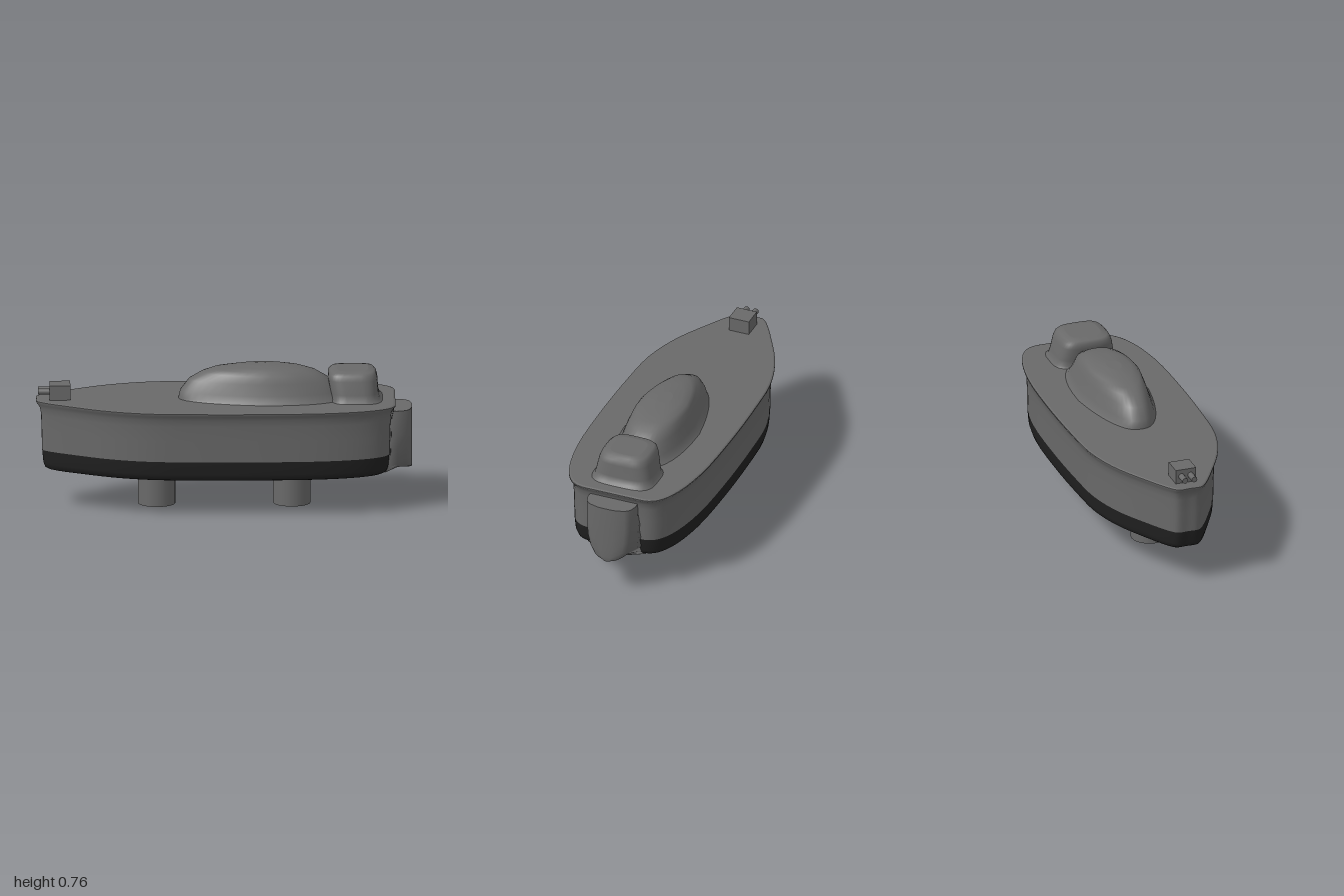
import * as THREE from 'three';

const grey = new THREE.MeshStandardMaterial({ color: 0x696969 });
grey.name = 'hull grey';
const black = new THREE.MeshStandardMaterial({ color: 0x202020 });
black.name = 'boot stripe black';
const V = (x, y, z) => new THREE.Vector3(x, y, z);

// Skin over horizontal rings stacked upward, with optional flat end caps.
function loft(rings, capTop = false, capBottom = false) {
  const pos = [], idx = [], n = rings[0].length;
  const addRing = (r) => {
    const start = pos.length / 3;
    r.forEach((p) => pos.push(p.x, p.y, p.z));
    return start;
  };
  const starts = rings.map(addRing);
  for (let i = 0; i + 1 < rings.length; i++) {
    for (let j = 0; j < n; j++) {
      const k = (j + 1) % n;
      const a = starts[i] + j, b = starts[i] + k, c = starts[i + 1] + j, d = starts[i + 1] + k;
      idx.push(a, c, b, b, c, d);
    }
  }
  const cap = (r, up) => {
    const s = addRing(r);
    const m = r.reduce((t, p) => t.add(p), V(0, 0, 0)).divideScalar(n);
    const c = addRing([m]);
    for (let j = 0; j < n; j++) {
      const k = (j + 1) % n;
      if (up) idx.push(c, s + k, s + j);
      else idx.push(c, s + j, s + k);
    }
  };
  if (capTop) cap(rings[rings.length - 1], true);
  if (capBottom) cap(rings[0], false);
  const g = new THREE.BufferGeometry();
  g.setAttribute('position', new THREE.Float32BufferAttribute(pos, 3));
  g.setIndex(idx);
  g.computeVertexNormals();
  return g;
}

// Deck outline: stern at +x, bow at -x.
const half = [[0.91, 0.1], [0.905, 0.2], [0.87, 0.255], [0.77, 0.31], [0.55, 0.358], [0.2, 0.375],
  [-0.17, 0.37], [-0.42, 0.352], [-0.63, 0.29], [-0.82, 0.19], [-0.97, 0.095], [-1, 0.06]];
const outline = new THREE.CatmullRomCurve3([
  V(0.91, 0, 0), ...half.map(([x, z]) => V(x, 0, z)), V(-1, 0, 0),
  ...half.slice().reverse().map(([x, z]) => V(x, 0, -z))], true).getPoints(88).slice(0, 88);

// Hull ring at height y, drawn in by d from the deck edge.
const hullRing = ([y, d]) => outline.map((p) => V(
  -0.045 + (p.x + 0.045) * (1 - 1.35 * d / 0.955), y, p.z * (1 - d / 0.375)));

// Squarish oval ring; front (-x) end narrowed by taper.
function ovalRing([y, x0, x1, w], power, taper) {
  const ring = [];
  for (let i = 0; i < 40; i++) {
    const a = (i / 40) * Math.PI * 2, c = Math.cos(a), s = Math.sin(a);
    const cx = Math.sign(c) * Math.abs(c) ** power, sz = Math.sign(s) * Math.abs(s) ** power;
    ring.push(V((x0 + x1) / 2 + cx * (x1 - x0) / 2, y, sz * w * (1 - taper * Math.max(0, -cx))));
  }
  return ring;
}

export function createModel() {
  const model = new THREE.Group();
  const add = (name, geo, mat, x = 0, y = 0, z = 0) => {
    const m = new THREE.Mesh(geo, mat);
    m.name = name;
    m.position.set(x, y, z);
    model.add(m);
    return m;
  };

  // Hull: black lower band, grey topsides flaring to the rim, deck and bottom
  const lower = [[0.196, 0.065], [0.201, 0.05], [0.211, 0.036], [0.235, 0.029], [0.305, 0.024]];
  const upper = [[0.305, 0.024], [0.42, 0.022], [0.5, 0.02], [0.535, 0.015], [0.555, 0.007], [0.566, 0], [0.573, 0]];
  add('lowerHullBand', loft(lower.map(hullRing)), black);
  add('hullSides', loft(upper.map(hullRing)), grey);
  add('deck', loft([hullRing([0.573, 0]), hullRing([0.577, 0.008])], true), grey);
  add('hullBottom', loft([hullRing(lower[0])], false, true), grey);

  // Cabin with a flared foot and domed roof
  const cabin = [[0.572, -0.245, 0.64, 0.205], [0.587, -0.243, 0.62, 0.188], [0.62, -0.235, 0.6, 0.172],
    [0.68, -0.19, 0.56, 0.152], [0.72, -0.12, 0.49, 0.138], [0.74, -0.06, 0.42, 0.122],
    [0.752, 0.03, 0.34, 0.09], [0.759, 0.13, 0.24, 0.04]];
  add('cabin', loft(cabin.map((r) => ovalRing(r, 0.8, 0.3)), true), grey);

  // Rounded cowling behind the cabin
  const cowling = [[0.572, 0.56, 0.85, 0.185], [0.588, 0.57, 0.828, 0.168], [0.62, 0.565, 0.82, 0.16],
    [0.69, 0.552, 0.815, 0.145], [0.718, 0.553, 0.808, 0.135], [0.732, 0.565, 0.795, 0.12],
    [0.738, 0.6, 0.765, 0.09]];
  add('engineCowling', loft(cowling.map((r) => ovalRing(r, 0.55, 0)), true), grey);

  // Drive housing on the stern, narrowing at its foot
  const housing = [[0.2, 0.25], [0.208, 0.5], [0.225, 0.68], [0.26, 0.83], [0.32, 0.94], [0.4, 1], [0.53, 1]];
  const side = [[1, 0.04], [0.985, 0.1], [0.965, 0.124], [0.92, 0.138]];
  const housingRing = ([y, f]) => {
    const root = 0.168 - 0.035 * Math.max(0, (y - 0.3) / 0.23);
    const h = [...side.map(([x, z]) => [x, z * f]), [0.85, root]];
    return [...h.map(([x, z]) => V(x, y, z)), ...h.reverse().map(([x, z]) => V(x, y, -z))];
  };
  add('sternDrive', loft(housing.map(housingRing), true, true), grey);

  // Black border on the transom around the drive: outer z, y, inner z, y
  const border = [[0.215, 0.25, 0.15, 0.25], [0.2, 0.31, 0.15, 0.31], [0.185, 0.42, 0.14, 0.42],
    [0.17, 0.5, 0.13, 0.5], [0.14, 0.55, 0.12, 0.52], [0, 0.555, 0, 0.52]];
  const path = [...border, ...border.slice(0, -1).reverse().map(([a, b, c, d]) => [-a, b, -c, d])];
  const pos = [], idx = [];
  const sternX = (y) => 0.882 + Math.max(0, y - 0.25) * 0.03 + Math.max(0, y - 0.5) * 0.25;
  path.forEach(([oz, oy, iz, iy], i) => {
    pos.push(sternX(oy), oy, oz, sternX(iy), iy, iz);
    if (i) idx.push(2 * i - 2, 2 * i, 2 * i - 1, 2 * i - 1, 2 * i, 2 * i + 1);
  });
  const strip = new THREE.BufferGeometry();
  strip.setAttribute('position', new THREE.Float32BufferAttribute(pos, 3));
  strip.setIndex(idx);
  strip.computeVertexNormals();
  add('transomBorder', strip, black);

  // Bow fitting: block with two short barrels
  add('bowBlock', new THREE.BoxGeometry(0.11, 0.085, 0.115), grey, -0.875, 0.613, 0);
  for (const s of [-1, 1]) {
    add('bowBarrel', new THREE.CylinderGeometry(0.016, 0.016, 0.07, 12), grey, -0.957, 0.617, s * 0.026)
      .rotation.z = Math.PI / 2;
  }

  // Two support posts under the hull
  for (const s of [-1, 1]) {
    add('supportPost', new THREE.CylinderGeometry(0.1, 0.1, 0.21, 24), grey, s * 0.36, 0.105, 0);
  }
  return model;
}
